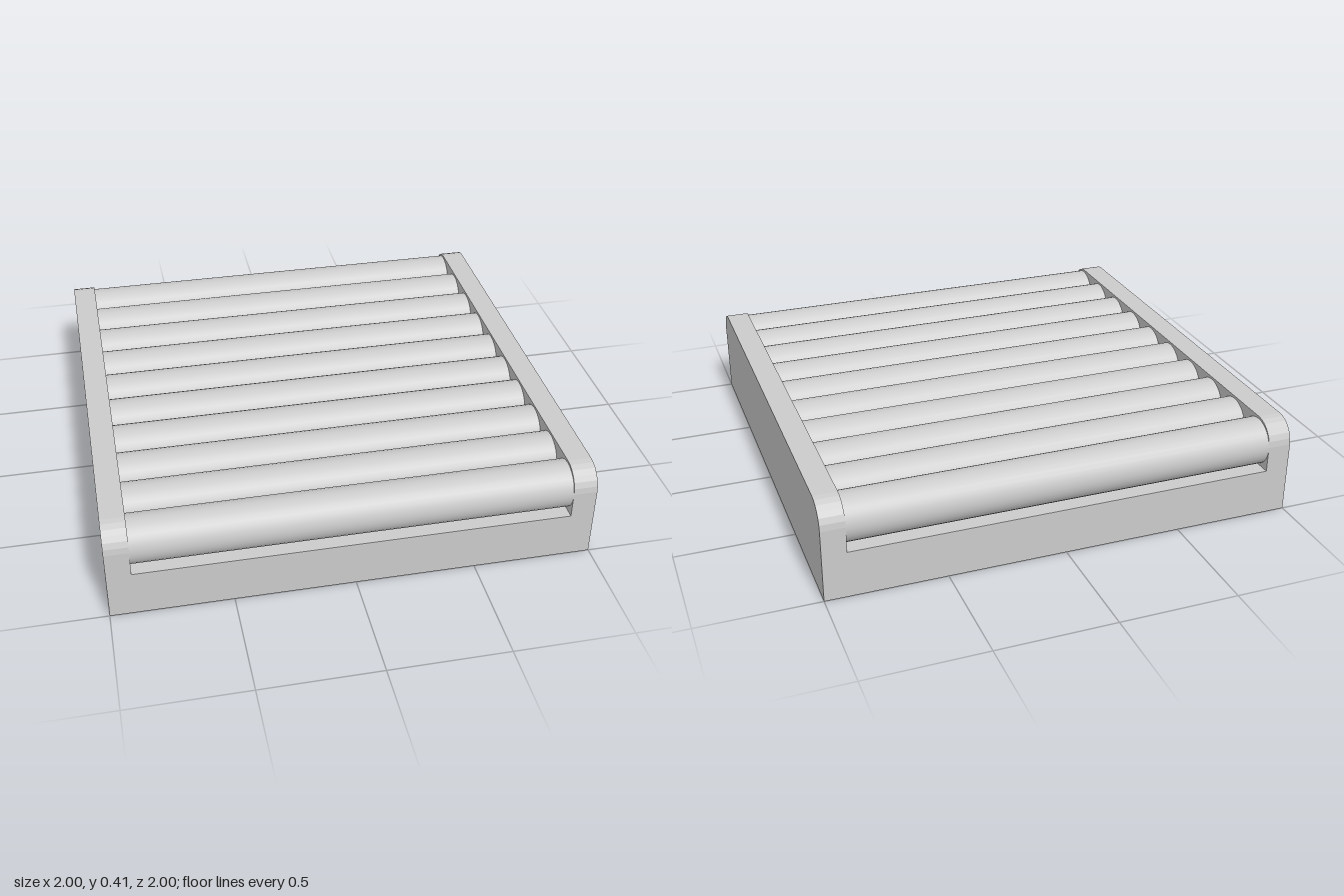
import * as THREE from 'three';

export function createModel() {
  const model = new THREE.Group();
  model.name = 'rollerConveyor';
  const material = new THREE.MeshStandardMaterial({ color: 0xcccccc });

  const add = (name, geometry, x, y, z) => {
    const mesh = new THREE.Mesh(geometry, material);
    mesh.name = name;
    mesh.position.set(x, y, z);
    model.add(mesh);
    return mesh;
  };

  const railWidth = 0.1, railHeight = 0.41, corner = 0.1;
  const innerWidth = 2 - 2 * railWidth;

  // Flat bed between the rails
  add('base', new THREE.BoxGeometry(innerWidth, 0.2, 2), 0, 0.1, 0);

  // Side rails: profile with rounded top corners, extruded across x
  const profile = new THREE.Shape();
  profile.moveTo(-1, 0);
  profile.lineTo(1, 0);
  profile.lineTo(1, railHeight - corner);
  profile.absarc(1 - corner, railHeight - corner, corner, 0, Math.PI / 2);
  profile.lineTo(corner - 1, railHeight);
  profile.absarc(corner - 1, railHeight - corner, corner, Math.PI / 2, Math.PI);
  profile.closePath();
  const railGeometry = new THREE.ExtrudeGeometry(profile, {
    depth: railWidth, bevelEnabled: false, curveSegments: 3,
  });
  railGeometry.rotateY(Math.PI / 2);
  add('rightRail', railGeometry, -1, 0, 0);
  add('leftRail', railGeometry, 1 - railWidth, 0, 0);

  // Row of touching rollers resting on the bed
  const rollerRadius = 0.1, rollerCount = 10;
  const rollerGeometry = new THREE.CylinderGeometry(rollerRadius, rollerRadius, innerWidth, 32);
  rollerGeometry.rotateZ(Math.PI / 2);
  for (let i = 0; i < rollerCount; i++) {
    add(`roller${i + 1}`, rollerGeometry, 0, 0.3, -0.9 + i * 2 * rollerRadius);
  }

  return model;
}
